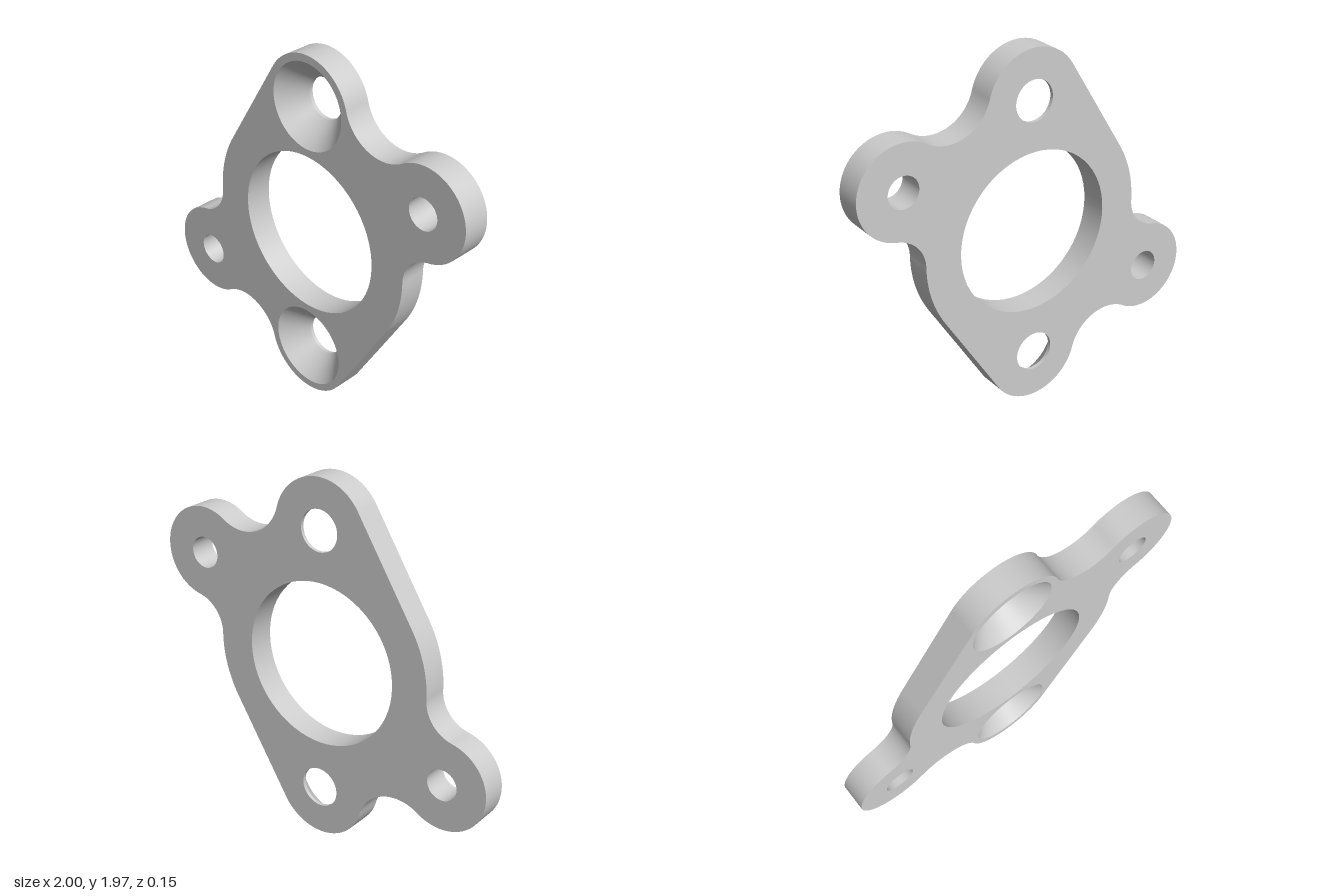
import * as THREE from 'three';

const MID = 0.985;   // height of the plate centre
const H = 0.075;     // half thickness
const SINK = 0.13;   // countersink depth

const BODY = { x: 0, y: 0, r: 0.645 };
const EAR = { x: 0.75, y: 0.44, r: 0.25 };
const TOP = { x: 0, y: 0.715, r: 0.27 };

// Circle of radius r touching a and b from outside, right of the way from a to b
function fillet(a, b, r) {
  const dx = b.x - a.x, dy = b.y - a.y, d = Math.hypot(dx, dy);
  const ra = a.r + r, rb = b.r + r;
  const along = (ra * ra - rb * rb + d * d) / (2 * d);
  const off = Math.sqrt(ra * ra - along * along);
  return { x: a.x + (dx * along + dy * off) / d, y: a.y + (dy * along - dx * off) / d, r };
}
const angle = (from, to) => Math.atan2(to.y - from.y, to.x - from.x);

// Outline: one half as tangent arcs, then the same half turned by 180 degrees
function outlinePoints() {
  const low = fillet(BODY, EAR, 0.188), high = fillet(EAR, TOP, 0.235);
  const tangent = -Math.asin((BODY.r - TOP.r) / TOP.y);   // straight flank
  const arcs = [
    [BODY, tangent, angle(BODY, low), false],
    [low, angle(low, BODY), angle(low, EAR), true],
    [EAR, angle(EAR, low), angle(EAR, high), false],
    [high, angle(high, EAR), angle(high, TOP), true],
    [TOP, angle(TOP, high), tangent + Math.PI, false],
  ];
  const shape = new THREE.Shape();
  for (const [sign, turn] of [[1, 0], [-1, Math.PI]]) {
    for (const [c, a0, a1, cw] of arcs) {
      shape.absarc(sign * c.x, sign * c.y, c.r, a0 + turn, a1 + turn, cw);
    }
  }
  const pts = shape.getPoints(28);
  return pts.filter((p, i) => p.distanceTo(pts[(i + 1) % pts.length]) > 1e-4);
}

// Flat face with round holes
function faceGeometry(points, holes, z, back) {
  const shape = new THREE.Shape(points);
  for (const [x, y, r] of holes) {
    shape.holes.push(new THREE.Path().absarc(x, y, r, 0, Math.PI * 2, true));
  }
  const geo = new THREE.ShapeGeometry(shape, 32);
  if (back) {
    geo.index.array.reverse();
    geo.computeVertexNormals();
  }
  return geo.translate(0, 0, z);
}

// Smooth band around the outline
function rimGeometry(points) {
  const pos = [], idx = [], n = points.length;
  points.forEach((p, i) => {
    pos.push(p.x, p.y, -H, p.x, p.y, H);
    const a = 2 * i, b = 2 * ((i + 1) % n);
    idx.push(a, b, b + 1, a, b + 1, a + 1);
  });
  const geo = new THREE.BufferGeometry();
  geo.setAttribute('position', new THREE.Float32BufferAttribute(pos, 3));
  geo.setIndex(idx);
  geo.computeVertexNormals();
  return geo;
}

// Inward facing wall of a hole, from radius r0 at z0 (front) to r1 at z1
function wallGeometry(x, y, r0, z0, r1, z1) {
  const profile = [new THREE.Vector2(r0, z0), new THREE.Vector2(r1, z1)];
  return new THREE.LatheGeometry(profile, 64).rotateX(Math.PI / 2).translate(x, y, 0);
}

export function createModel() {
  const group = new THREE.Group();
  group.name = 'flangePlate';
  const plate = new THREE.Group();
  plate.name = 'plate';
  plate.position.y = MID;
  group.add(plate);

  const mat = new THREE.MeshStandardMaterial({ color: 0xcccccc });
  const add = (name, geo) => {
    const mesh = new THREE.Mesh(geo, mat);
    mesh.name = name;
    plate.add(mesh);
  };

  const bore = 0.445, screw = 0.11, head = 0.23, pin = 0.085;
  const holes = (r) => [
    [0, 0, bore],
    [EAR.x, EAR.y, pin], [-EAR.x, -EAR.y, pin],
    [0, TOP.y, r], [0, -TOP.y, r],
  ];
  const points = outlinePoints();

  // Plate surfaces
  add('frontFace', faceGeometry(points, holes(head), H, false));
  add('backFace', faceGeometry(points, holes(screw), -H, true));
  add('outerRim', rimGeometry(points));

  // Hole walls
  add('centreBore', wallGeometry(0, 0, bore, H, bore, -H));
  for (const [s, label] of [[1, 'upper'], [-1, 'lower']]) {
    add(label + 'EarHole', wallGeometry(s * EAR.x, s * EAR.y, pin, H, pin, -H));
    add(label + 'Countersink', wallGeometry(0, s * TOP.y, head, H, screw, H - SINK));
    add(label + 'ScrewHole', wallGeometry(0, s * TOP.y, screw, H - SINK, screw, -H));
  }
  return group;
}
